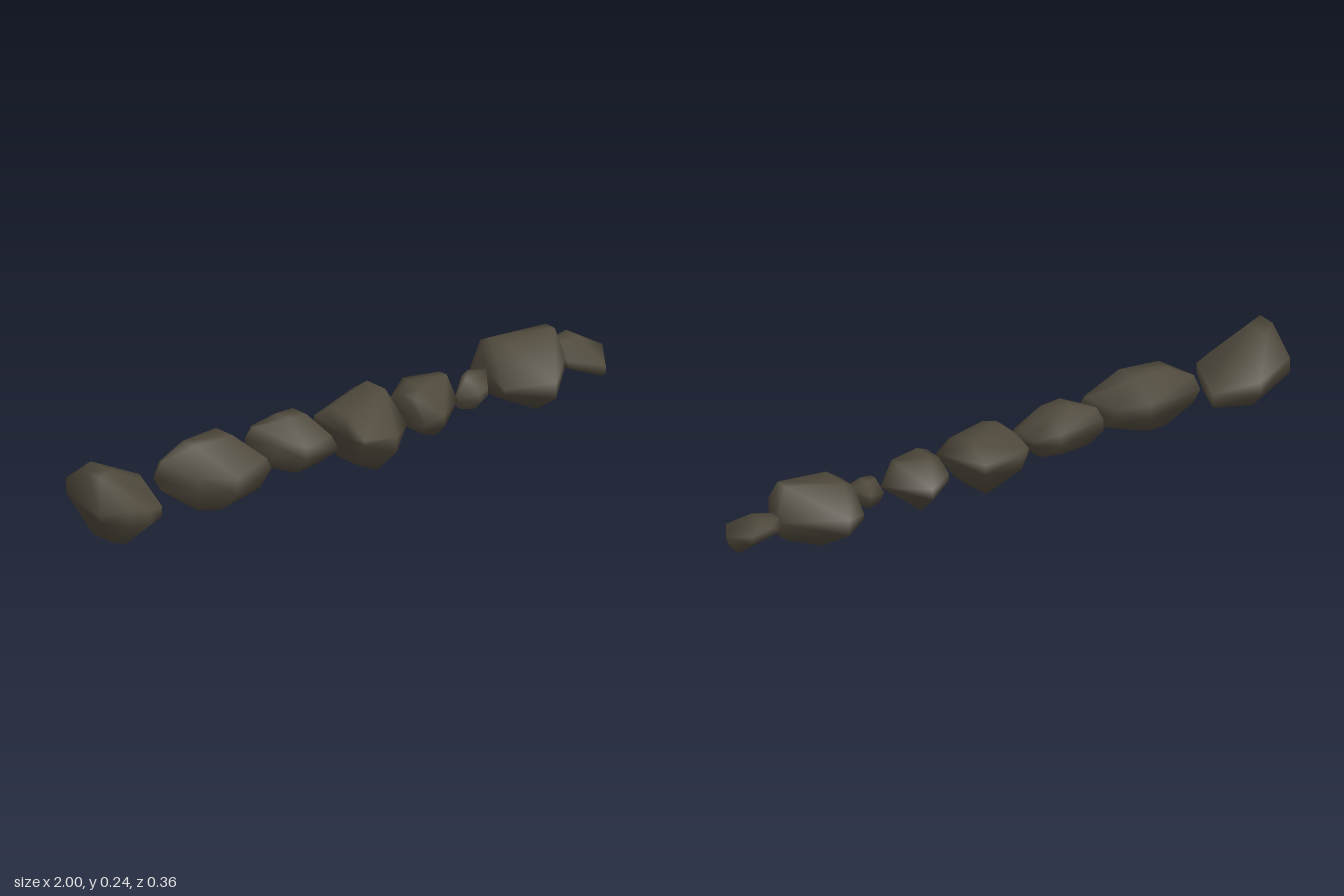
import * as THREE from 'three';
import { ConvexGeometry } from 'three/addons/geometries/ConvexGeometry.js';
import { mergeVertices } from 'three/addons/utils/BufferGeometryUtils.js';

// Middle and half-width of a closed outline of [x, v] points at a given x
function spanAt(outline, x) {
  const xs = outline.map((p) => p[0]);
  const cx = THREE.MathUtils.clamp(x, Math.min(...xs), Math.max(...xs));
  const hits = [];
  outline.forEach(([ax, av], i) => {
    const [bx, bv] = outline[(i + 1) % outline.length];
    if (cx < Math.min(ax, bx) || cx > Math.max(ax, bx)) return;
    if (ax === bx) hits.push(av, bv);
    else hits.push(av + ((bv - av) * (cx - ax)) / (bx - ax));
  });
  const lo = Math.min(...hits), hi = Math.max(...hits);
  return { mid: (lo + hi) / 2, half: (hi - lo) / 2 };
}

// A smooth stone hull that fits a front outline (x, y) and a plan outline (x, z).
// lean tips the upper part towards the back.
function stoneGeometry(front, plan, lean) {
  const points = [];
  for (const [x, y] of front) {
    const z = spanAt(plan, x), h = spanAt(front, x);
    const tip = h.half > 0 ? (lean * (y - h.mid)) / h.half : 0;
    for (const s of [-0.35, 0.35]) points.push(new THREE.Vector3(x, y, z.mid + z.half * (s - tip)));
  }
  for (const [x, z] of plan) {
    const h = spanAt(front, x), d = spanAt(plan, x);
    const tip = d.half > 0 ? (lean * (z - d.mid)) / d.half : 0;
    for (const s of [-0.25, 0.25]) points.push(new THREE.Vector3(x, h.mid + h.half * (s - tip), z));
  }
  let geometry = new ConvexGeometry(points);
  geometry.deleteAttribute('normal');
  geometry = mergeVertices(geometry, 1e-4);
  geometry.computeVertexNormals();
  return geometry;
}

export function createModel() {
  const group = new THREE.Group();
  group.name = 'stoneRow';
  const rock = new THREE.MeshStandardMaterial({ color: 0x4f493c });
  rock.name = 'dark stone';

  function addStone(name, front, plan, lean = 0.12) {
    const mesh = new THREE.Mesh(stoneGeometry(front, plan, lean), rock);
    mesh.name = name;
    group.add(mesh);
  }

  // Stones from the right end (-x) to the left end (+x)
  addStone('largeEndStone',
    [[-1, 0.15], [-0.95, 0.24], [-0.89, 0.24], [-0.72, 0.15], [-0.67, 0.13], [-0.68, 0.08], [-0.86, 0.01], [-0.91, 0.03], [-1, 0.13]],
    [[-1, 0.13], [-0.93, -0.11], [-0.81, -0.13], [-0.67, -0.09], [-0.7, 0], [-0.76, 0.12], [-0.82, 0.14], [-0.9, 0.14]]);
  addStone('longStone',
    [[-0.66, 0.13], [-0.64, 0.18], [-0.56, 0.225], [-0.43, 0.23], [-0.34, 0.15], [-0.33, 0.12], [-0.36, 0.06], [-0.5, 0.025], [-0.56, 0.03], [-0.64, 0.09]],
    [[-0.66, -0.04], [-0.44, -0.1], [-0.37, -0.02], [-0.33, 0.1], [-0.49, 0.14], [-0.58, 0.07]]);
  addStone('flatStone',
    [[-0.3, 0.15], [-0.28, 0.19], [-0.2, 0.215], [-0.13, 0.21], [-0.07, 0.14], [-0.06, 0.1], [-0.11, 0.06], [-0.19, 0.05], [-0.26, 0.07], [-0.3, 0.11]],
    [[-0.3, -0.06], [-0.13, -0.09], [-0.08, -0.03], [-0.06, 0.08], [-0.19, 0.09], [-0.25, 0.02]]);
  addStone('middleStone',
    [[-0.03, 0.13], [-0.02, 0.17], [0, 0.185], [0.17, 0.21], [0.19, 0.12], [0.16, 0.06], [0.08, 0], [0, 0.04]],
    [[-0.03, 0.1], [-0.02, -0.08], [0.02, -0.1], [0.17, -0.13], [0.19, 0.09], [0.1, 0.15], [-0.02, 0.15]]);
  addStone('slantedStone',
    [[0.24, 0.11], [0.25, 0.17], [0.29, 0.19], [0.4, 0.195], [0.43, 0.11], [0.33, 0.03], [0.25, 0.07]],
    [[0.24, 0.12], [0.25, -0.06], [0.36, -0.135], [0.43, 0.03], [0.3, 0.125]]);
  addStone('pebble',
    [[0.43, 0.1], [0.47, 0.165], [0.51, 0.17], [0.57, 0.16], [0.56, 0.11], [0.49, 0.07], [0.45, 0.075]],
    [[0.43, 0.01], [0.52, -0.055], [0.57, -0.01], [0.52, 0.06], [0.49, 0.06]]);
  addStone('wideStone',
    [[0.58, 0.14], [0.59, 0.2], [0.63, 0.225], [0.8, 0.24], [0.83, 0.13], [0.79, 0.06], [0.69, 0.03], [0.58, 0.08]],
    [[0.58, 0.06], [0.58, -0.1], [0.69, -0.18], [0.83, -0.01], [0.8, 0.07], [0.68, 0.175]]);
  addStone('smallEndStone',
    [[0.84, 0.13], [0.85, 0.17], [0.91, 0.18], [1, 0.13], [0.95, 0.06], [0.85, 0.1]],
    [[0.84, -0.06], [0.9, -0.08], [0.95, -0.06], [1, 0], [0.93, 0.1], [0.84, 0.04]], 0.4);

  return group;
}
